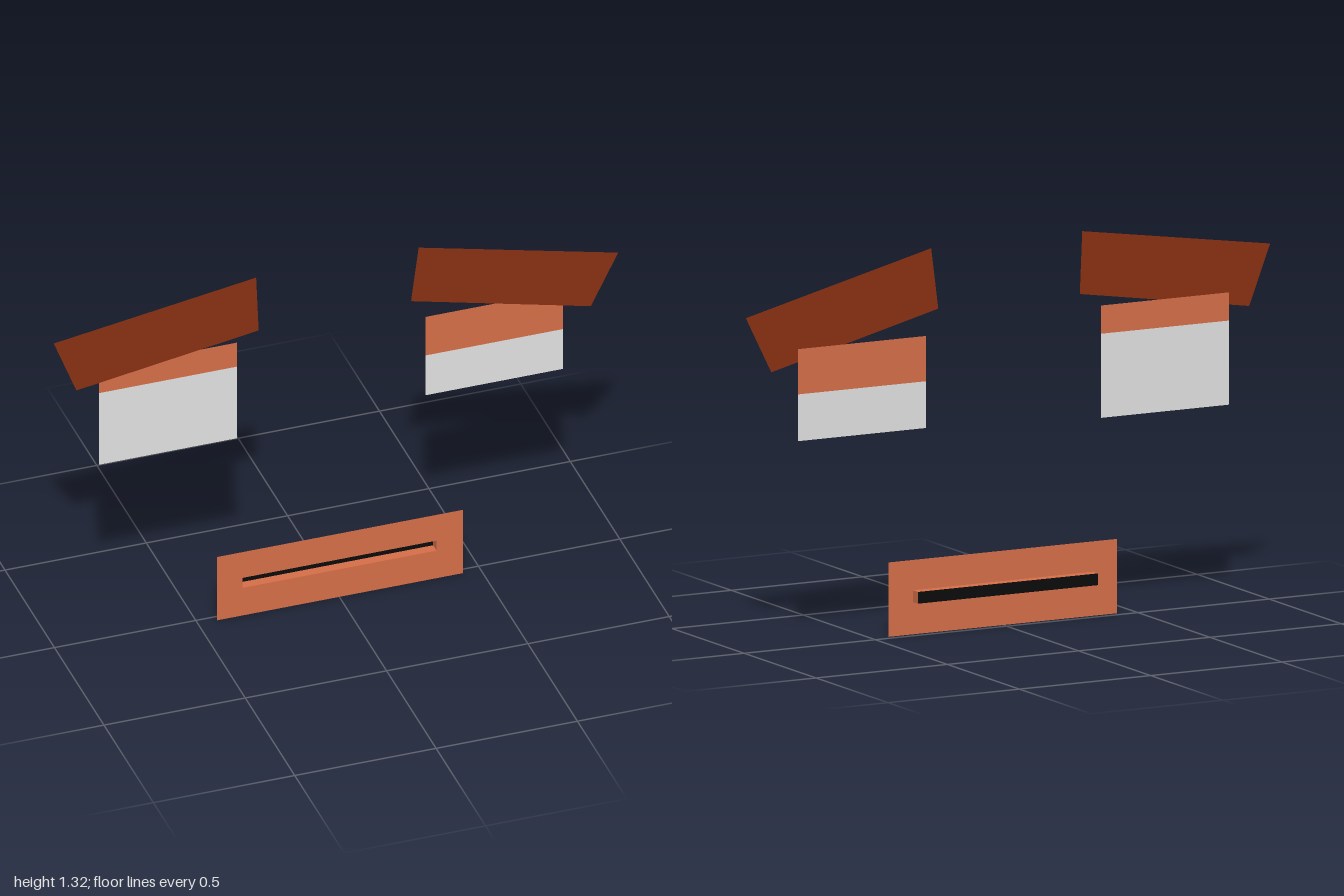
import * as THREE from 'three';

const flat = (name, color) => {
  const m = new THREE.MeshStandardMaterial({ color, side: THREE.DoubleSide });
  m.name = name;
  return m;
};

// flat plate from an outline, with optional hole, at depth z
function plate(name, points, z, material, hole) {
  const toVec = ([x, y]) => new THREE.Vector2(x, y);
  const shape = new THREE.Shape(points.map(toVec));
  if (hole) shape.holes.push(new THREE.Path(hole.map(toVec)));
  const mesh = new THREE.Mesh(new THREE.ShapeGeometry(shape), material);
  mesh.name = name;
  mesh.position.z = z;
  return mesh;
}

const rect = (x0, x1, y0, y1) => [[x0, y0], [x1, y0], [x1, y1], [x0, y1]];

export function createModel() {
  const skin = flat('skin orange', 0xd66f49);
  const brown = flat('brow brown', 0x8a3112);
  const white = flat('eye white', 0xe4e4e4);
  const black = flat('mouth black', 0x0b0b0b);
  const model = new THREE.Group();
  model.name = 'face';

  const mouthZ = 0.023, slotZ = -0.012, browZ = -0.007, eyeZ = -0.023;

  // eyes: white below, eyelid above in the same plane
  const eyes = [
    ['right', -0.835, -0.347, 0.68, 0.966, 1.062],
    ['left', 0.32, 0.807, 0.707, 0.866, 1.02],
  ];
  for (const [side, x0, x1, bottom, split, top] of eyes) {
    model.add(plate(side + 'Eye', rect(x0, x1, bottom, split), eyeZ, white));
    model.add(plate(side + 'Eyelid', rect(x0, x1, split, top), eyeZ, skin));
  }

  // slanted brows just in front of the eyes
  model.add(plate('rightBrow', [[-1, 1.21], [-0.92, 1.005], [-0.275, 1.105], [-0.284, 1.318]], browZ, brown));
  model.add(plate('leftBrow', [[0.291, 1.313], [0.264, 1.105], [0.9, 0.947], [0.997, 1.14]], browZ, brown));

  // mouth plate with a recessed slot
  const [sx0, sx1, sy0, sy1] = [-0.342, 0.344, 0.11, 0.15];
  const slot = rect(sx0, sx1, sy0, sy1);
  model.add(plate('mouthPlate', rect(-0.433, 0.437, 0, 0.253), mouthZ, skin, slot));
  model.add(plate('mouthOpening', slot, slotZ, black));

  // slot walls
  const depth = mouthZ - slotZ, midZ = (mouthZ + slotZ) / 2;
  for (const y of [sy0, sy1]) {
    const wall = new THREE.Mesh(new THREE.PlaneGeometry(sx1 - sx0, depth), skin);
    wall.name = y === sy0 ? 'slotFloor' : 'slotRoof';
    wall.rotation.x = y === sy0 ? Math.PI / 2 : -Math.PI / 2;
    wall.position.set((sx0 + sx1) / 2, y, midZ);
    model.add(wall);
  }
  for (const x of [sx0, sx1]) {
    const wall = new THREE.Mesh(new THREE.PlaneGeometry(depth, sy1 - sy0), skin);
    wall.name = x === sx0 ? 'slotRightEnd' : 'slotLeftEnd';
    wall.rotation.y = x === sx0 ? -Math.PI / 2 : Math.PI / 2;
    wall.position.set(x, (sy0 + sy1) / 2, midZ);
    model.add(wall);
  }
  return model;
}
